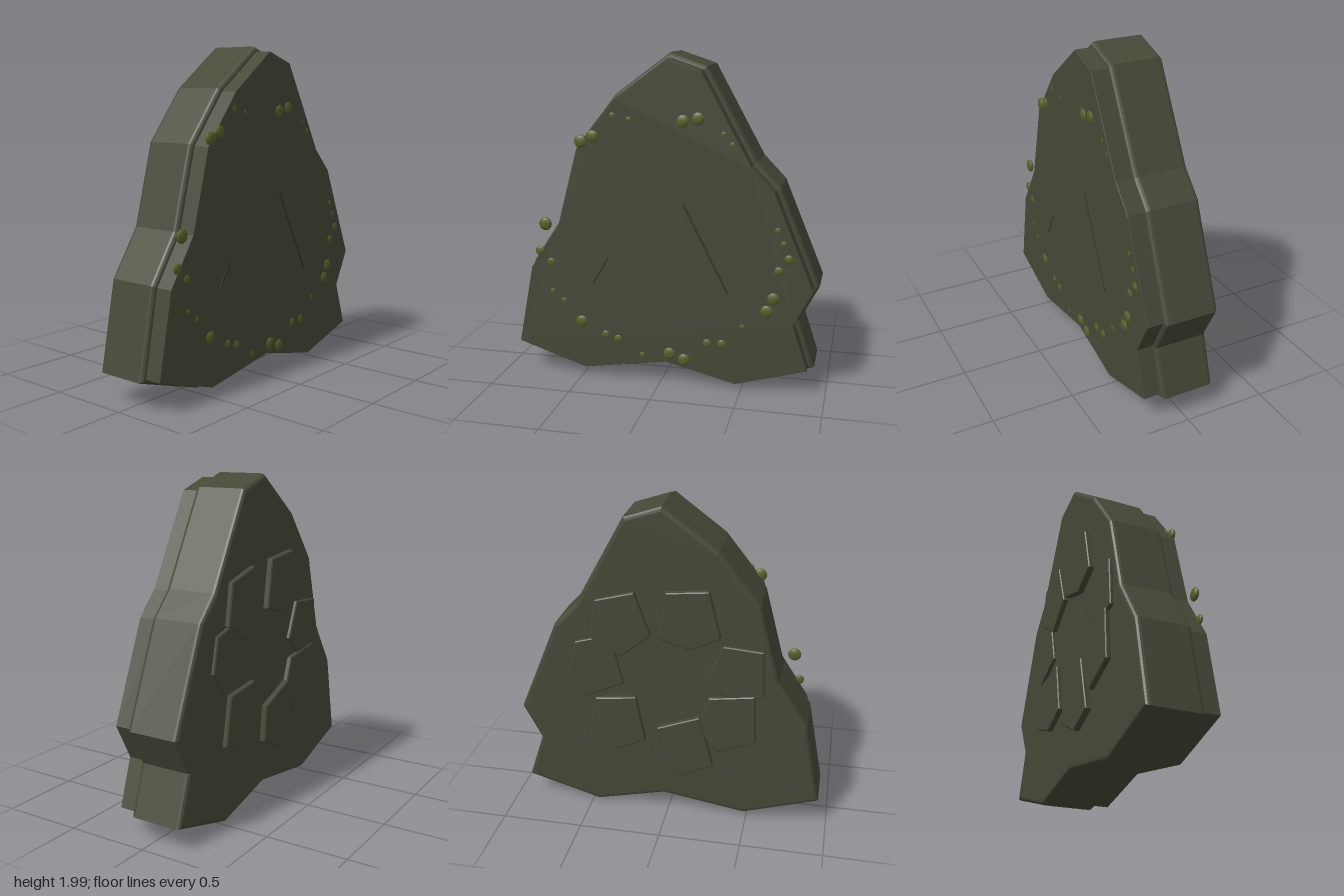
import * as THREE from 'three';

const stone = new THREE.MeshStandardMaterial({ color: 0x454937 });
stone.name = 'stone';
const crackDark = new THREE.MeshStandardMaterial({ color: 0x34382a });
crackDark.name = 'crackDark';
const moss = new THREE.MeshStandardMaterial({ color: 0x566028 });
moss.name = 'moss';

// Irregular boulder outline, clockwise from the peak
const OUTLINE = [
  [0.034, 2], [0.257, 1.926], [0.558, 1.38], [0.695, 1.237], [0.94, 0.65],
  [0.828, 0.432], [0.925, 0.14], [0.463, 0.006], [0.034, 0.11], [-0.484, 0.029],
  [-0.944, 0.177], [-0.844, 0.697], [-0.664, 0.972], [-0.537, 1.449], [-0.294, 1.756],
];

// Five-sided stones on the back: raised height, then corners
const SLABS = [
  [0.03, [[0.43, 1.426], [0.195, 1.49], [0.1, 1.223], [0.281, 1.074], [0.469, 1.184]]],
  [0.036, [[0.006, 1.505], [-0.245, 1.53], [-0.316, 1.246], [-0.143, 1.157], [0.053, 1.214]]],
  [0.02, [[0.565, 1.143], [0.35, 1.205], [0.27, 0.89], [0.5, 0.785], [0.612, 0.94]]],
  [0.022, [[-0.331, 1.193], [-0.567, 1.175], [-0.582, 0.882], [-0.378, 0.836], [-0.237, 0.972]]],
  [0.03, [[0.446, 0.777], [0.195, 0.807], [0.14, 0.51], [0.32, 0.426], [0.5, 0.487]]],
  [0.03, [[-0.253, 0.846], [-0.527, 0.885], [-0.543, 0.575], [-0.308, 0.476], [-0.182, 0.646]]],
  [0.036, [[0.061, 0.611], [-0.198, 0.71], [-0.284, 0.376], [-0.111, 0.297], [0.085, 0.394]]],
];

// Moss tufts: x, y, radius
const TUFTS = [
  [0.135, 1.617, 0.04], [0.225, 1.634, 0.04], [-0.288, 1.64, 0.023], [-0.188, 1.62, 0.021],
  [-0.484, 1.48, 0.041], [-0.41, 1.513, 0.039], [0.373, 1.55, 0.021], [0.426, 1.49, 0.021],
  [-0.722, 0.967, 0.041], [-0.76, 0.794, 0.031], [-0.69, 0.728, 0.029], [-0.685, 0.543, 0.023],
  [-0.611, 0.485, 0.023], [-0.5, 0.358, 0.04], [-0.347, 0.284, 0.029], [-0.267, 0.262, 0.029],
  [-0.114, 0.172, 0.023], [0.056, 0.195, 0.04], [0.146, 0.162, 0.04], [0.288, 0.28, 0.031],
  [0.378, 0.283, 0.031], [0.5, 0.405, 0.022], [0.643, 0.511, 0.04], [0.68, 0.59, 0.04],
  [0.707, 0.76, 0.031], [0.765, 0.835, 0.031], [0.733, 0.925, 0.023], [0.696, 1.003, 0.023],
];

// Bevelled slab between two depths; inset shrinks the outline
function slab(name, points, z0, z1, bevel, inset, segments) {
  const shape = new THREE.Shape(points.map(([x, y]) => new THREE.Vector2(x, y)));
  const geometry = new THREE.ExtrudeGeometry(shape, {
    depth: z1 - z0 - 2 * bevel,
    bevelEnabled: true,
    bevelThickness: bevel,
    bevelSize: bevel,
    bevelOffset: -bevel - inset,
    bevelSegments: segments,
  });
  geometry.translate(0, 0, z0 + bevel);
  const mesh = new THREE.Mesh(geometry, stone);
  mesh.name = name;
  return mesh;
}

// Thin ridge laid between two points on the front face
function crack(x0, y0, x1, y1, width) {
  const geometry = new THREE.BoxGeometry(width, Math.hypot(x1 - x0, y1 - y0), 0.008);
  const mesh = new THREE.Mesh(geometry, crackDark);
  mesh.position.set((x0 + x1) / 2, (y0 + y1) / 2, 0.23);
  mesh.rotation.z = -Math.atan2(x1 - x0, y1 - y0);
  mesh.name = 'crack';
  return mesh;
}

export function createModel() {
  const model = new THREE.Group();
  model.name = 'mossyBoulder';

  // Thick body with a smaller plate on its front
  model.add(slab('body', OUTLINE, -0.204, 0.13, 0.026, 0, 3));
  model.add(slab('frontPlate', OUTLINE, 0.1, 0.232, 0.002, 0.028, 1));

  // Back stones
  const backStones = new THREE.Group();
  backStones.name = 'backStones';
  for (const [height, points] of SLABS) {
    backStones.add(slab('backStone', points, -0.204 - height, -0.19, 0.006, 0, 1));
  }
  model.add(backStones);

  // Cracks
  model.add(crack(0.14, 1.13, 0.408, 0.604, 0.014));
  model.add(crack(-0.325, 0.776, -0.422, 0.604, 0.012));

  // Flattened moss tufts around the front
  const tufts = new THREE.Group();
  tufts.name = 'mossTufts';
  const ball = new THREE.SphereGeometry(1, 12, 10);
  for (const [x, y, r] of TUFTS) {
    const tuft = new THREE.Mesh(ball, moss);
    tuft.name = 'mossTuft';
    tuft.position.set(x, y, 0.226);
    tuft.scale.set(r, r, r * 0.42);
    tufts.add(tuft);
  }
  model.add(tufts);
  return model;
}
